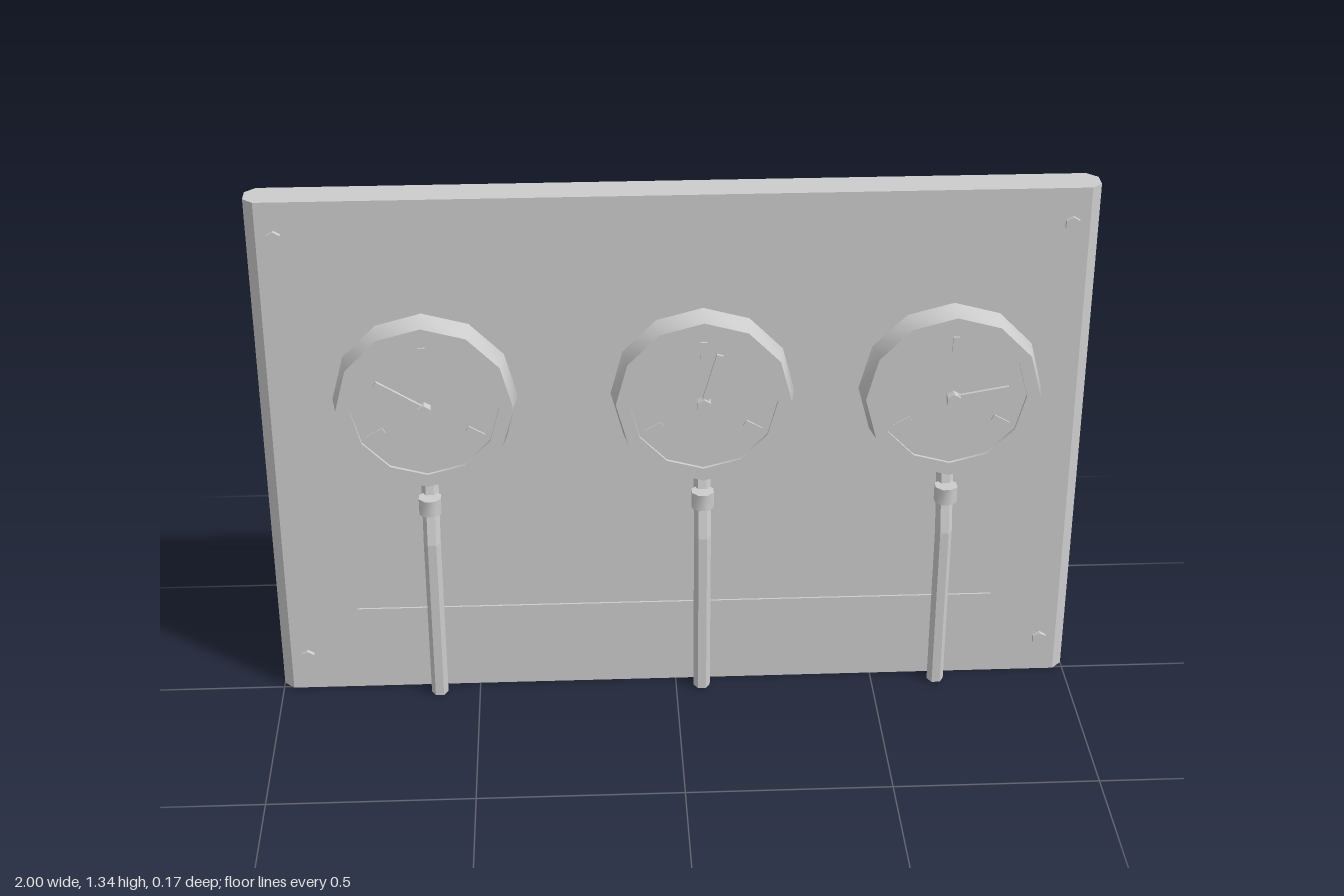
import * as THREE from 'three';
import { toCreasedNormals } from 'three/addons/utils/BufferGeometryUtils.js';

const HEIGHT = 1.336;
const FRONT = 0.005;

export function createModel() {
  const model = new THREE.Group();
  const paint = new THREE.MeshStandardMaterial({ color: 0xcccccc, side: THREE.DoubleSide });
  paint.name = 'plain grey';

  const add = (parent, name, geometry, x = 0, y = 0, z = 0) => {
    const mesh = new THREE.Mesh(geometry, paint);
    mesh.name = name;
    mesh.position.set(x, y, z);
    parent.add(mesh);
    return mesh;
  };
  const flat = (geometry) => toCreasedNormals(geometry, 0.1);

  // Panel: a thin tray with chamfered sides, open at the back
  const outline = [[-0.975, -0.085], [-1, -0.06], [-1, -0.019], [-0.975, FRONT],
    [0.975, FRONT], [1, -0.019], [1, -0.06], [0.975, -0.085]];
  const panel = new THREE.Group();
  panel.name = 'panel';
  model.add(panel);

  const walls = [];
  for (let i = 0; i < outline.length - 1; i++) {
    const [ax, az] = outline[i];
    const [bx, bz] = outline[i + 1];
    walls.push(ax, 0, az, bx, 0, bz, bx, HEIGHT, bz);
    walls.push(ax, 0, az, bx, HEIGHT, bz, ax, HEIGHT, az);
  }
  const shell = new THREE.BufferGeometry();
  shell.setAttribute('position', new THREE.Float32BufferAttribute(walls, 3));
  shell.computeVertexNormals();
  add(panel, 'panelShell', shell);

  const cap = (sign) => new THREE.ShapeGeometry(
    new THREE.Shape(outline.map(([x, z]) => new THREE.Vector2(x, sign * z)))
  ).rotateX(sign * Math.PI / 2);
  add(panel, 'panelBottom', cap(1));
  add(panel, 'panelTop', cap(-1), 0, HEIGHT);

  // Long label strip low on the panel
  add(model, 'labelStrip', new THREE.BoxGeometry(1.6, 0.113, 0.005), 0, 0.177, 0.0075);

  // Hexagonal bolts in the corners
  const bolt = flat(new THREE.CylinderGeometry(0.019, 0.019, 0.013, 6).rotateX(Math.PI / 2));
  for (const x of [-0.933, 0.933]) {
    for (const y of [0.095, 1.247]) add(model, 'bolt', bolt, x, y, 0.01);
  }

  // Gauge case: tapered twelve-sided body with rim and sunken dial
  const caseProfile = [[0.222, 0], [0.211, 0.064], [0.178, 0.064], [0.178, 0.056], [0, 0.056]]
    .map(([r, y]) => new THREE.Vector2(r, y));
  const gaugeCase = toCreasedNormals(
    new THREE.LatheGeometry(caseProfile, 12).rotateX(Math.PI / 2), 0.6);
  const tick = new THREE.BoxGeometry(0.045, 0.016, 0.006).translate(0.137, 0, 0);
  const needle = new THREE.BoxGeometry(0.135, 0.016, 0.008).translate(0.0675, 0, 0);
  const hub = flat(new THREE.CylinderGeometry(0.018, 0.018, 0.026, 6).rotateX(Math.PI / 2));

  // Pipe: a hexagonal tube, straight below and leaning back into the case
  const pipePath = [[0, 0.0375], [0.44, 0.0375], [0.625, -0.003]];
  const pipeBase = new THREE.CylinderGeometry(0.021, 0.021, 2, 6, 2).rotateY(Math.PI / 6);
  const pos = pipeBase.attributes.position;
  for (let i = 0; i < pos.count; i++) {
    const [y, z] = pipePath[Math.round(pos.getY(i)) + 1];
    pos.setXYZ(i, pos.getX(i), y, pos.getZ(i) + z);
  }
  const pipe = flat(pipeBase);
  const collar = toCreasedNormals(
    new THREE.CylinderGeometry(0.029, 0.029, 0.043, 8).rotateY(Math.PI / 8), 0.9);

  // Three gauges: x position and needle angle in degrees
  for (const [x, angle] of [[-0.602, 148], [0.065, 74], [0.665, 10]]) {
    const gauge = new THREE.Group();
    gauge.name = 'gauge';
    gauge.position.set(x, 0.825, FRONT);
    model.add(gauge);
    add(gauge, 'gaugeCase', gaugeCase);
    for (const a of [90, 210, 330]) {
      add(gauge, 'tick', tick, 0, 0, 0.058).rotation.z = THREE.MathUtils.degToRad(a);
    }
    add(gauge, 'needle', needle, 0, 0, 0.068).rotation.z = THREE.MathUtils.degToRad(angle);
    add(gauge, 'needleHub', hub, 0, -0.002, 0.067);
    add(model, 'pipe', pipe, x);
    add(model, 'pipeCollar', collar, x, 0.546, 0.036);
  }

  return model;
}
